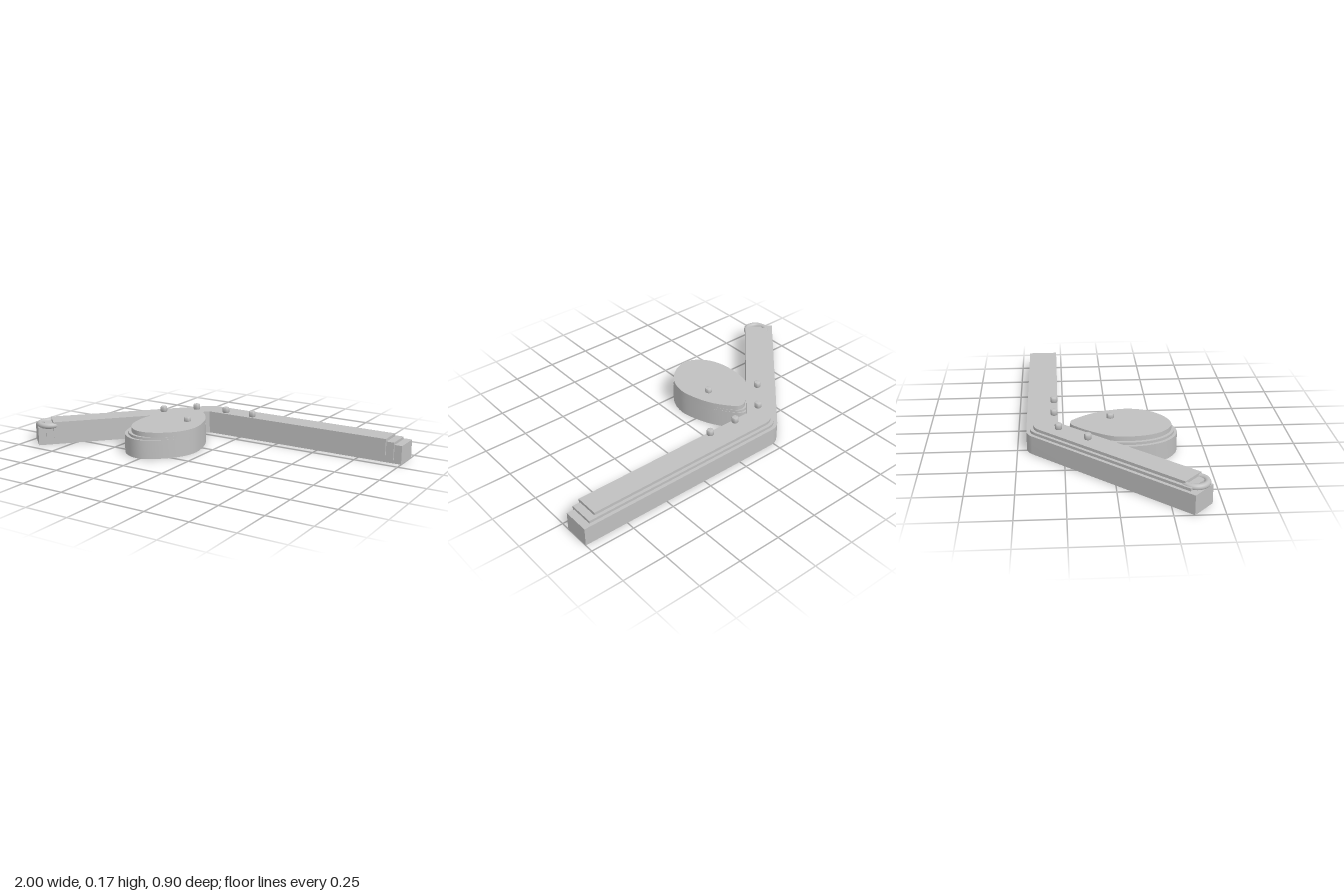
import * as THREE from 'three';
import { toCreasedNormals } from 'three/addons/utils/BufferGeometryUtils.js';

const metal = new THREE.MeshStandardMaterial({ color: 0xc0c0c0 });
metal.name = 'plain grey';

function add(parent, name, geometry) {
  const mesh = new THREE.Mesh(geometry, metal);
  mesh.name = name;
  parent.add(mesh);
  return mesh;
}

// Upright slab from a plan shape (shape y = -z)
function slab(shape, y0, y1) {
  const geo = new THREE.ExtrudeGeometry(shape, { depth: y1 - y0, bevelEnabled: false, curveSegments: 10 });
  geo.rotateX(-Math.PI / 2).translate(0, y0, 0);
  return toCreasedNormals(geo, 0.5);
}

// Plan of the bent bar: outer and inner offsets from its back edge, ends trimmed
const DIR = [0.673, -0.74];
const NORMAL = [0.74, 0.673];
function barShape(outer, inner, trim) {
  const along = (o, t) => [-1 + NORMAL[0] * o + DIR[0] * t, 0.35 + NORMAL[1] * o + DIR[1] * t];
  const corner = (o) => along(o, (0.8 + (NORMAL[1] - 1) * o) / 0.74);
  const s = new THREE.Shape();
  const [cx, cz] = corner(outer);
  const [ix, iz] = corner(inner);
  const r = 0.042;
  const a = along(outer, trim);
  const b = along(inner, trim);
  s.moveTo(1 - trim, 0.45 - outer);
  s.lineTo(cx + r, -cz);
  s.quadraticCurveTo(cx, -cz, cx - DIR[0] * r, -(cz - DIR[1] * r));
  s.lineTo(a[0], -a[1]);
  s.lineTo(b[0], -b[1]);
  s.lineTo(ix, -iz);
  s.lineTo(1 - trim, 0.45 - inner);
  s.closePath();
  return s;
}

// Teardrop plan: x, z, and how far each point steps in (dx, dz) per layer
const DROP = [
  [-0.225, -0.235, 0, 0.01], [-0.185, -0.207, 0, 0.004], [-0.105, -0.09, 0, 0],
  [-0.06, 0.04, 0, 0], [-0.056, 0.13, 0, 0], [-0.09, 0.22, 0, 0], [-0.165, 0.305, 0, -0.006],
  [-0.25, 0.352, 0, -0.014], [-0.335, 0.337, 0.008, -0.015], [-0.41, 0.27, 0.016, -0.01],
  [-0.45, 0.16, 0.019, 0], [-0.454, 0.04, 0.018, 0], [-0.42, -0.05, 0.016, 0.004],
  [-0.34, -0.155, 0.01, 0.009], [-0.265, -0.223, 0.004, 0.01], [-0.225, -0.235, 0, 0.01],
];
function dropShape(layer) {
  const pts = DROP.map(([x, z, dx, dz]) => new THREE.Vector2(x + dx * layer, -(z + dz * layer)));
  const outline = new THREE.SplineCurve(pts).getPoints(90);
  outline.pop();
  return new THREE.Shape(outline);
}

export function createModel() {
  const model = new THREE.Group();
  model.name = 'bentBarAndCam';

  // Bent bar in three stepped layers
  const bar = new THREE.Group();
  bar.name = 'bentBar';
  model.add(bar);
  add(bar, 'barBase', slab(barShape(0, 0.15, 0), 0, 0.104));
  add(bar, 'barMiddle', slab(barShape(0.019, 0.16, 0.042), 0.02, 0.119));
  add(bar, 'barTop', slab(barShape(0.037, 0.17, 0.085), 0.042, 0.135));

  // Teardrop block, stepped on its left side
  const drop = new THREE.Group();
  drop.name = 'teardropBlock';
  model.add(drop);
  [[0, 0.105], [0.105, 0.119], [0.119, 0.145]].forEach(([y0, y1], i) => {
    add(drop, 'teardropLayer' + (i + 1), slab(dropShape(i), y0, y1));
  });

  // Rounded pegs on the bar and the block
  const pegProfile = [
    [0, 0], [0.017, 0], [0.0195, 0.004], [0.0195, 0.026], [0.017, 0.031], [0.011, 0.033], [0, 0.033],
  ].map(([x, y]) => new THREE.Vector2(x, y));
  const pegGeo = toCreasedNormals(new THREE.LatheGeometry(pegProfile, 24), 0.7);
  [[-0.421, -0.128], [-0.286, -0.278], [-0.095, -0.3], [0.083, -0.3], [-0.167, 0.003]].forEach(([x, z], i) => {
    add(model, 'peg' + (i + 1), pegGeo).position.set(x, 0.138, z);
  });

  // Ring lying at the end of the slanted arm
  const ringGeo = new THREE.TorusGeometry(0.059, 0.0165, 16, 40).rotateX(Math.PI / 2);
  add(model, 'endRing', ringGeo).position.set(-0.875, 0.113, 0.366);

  return model;
}
